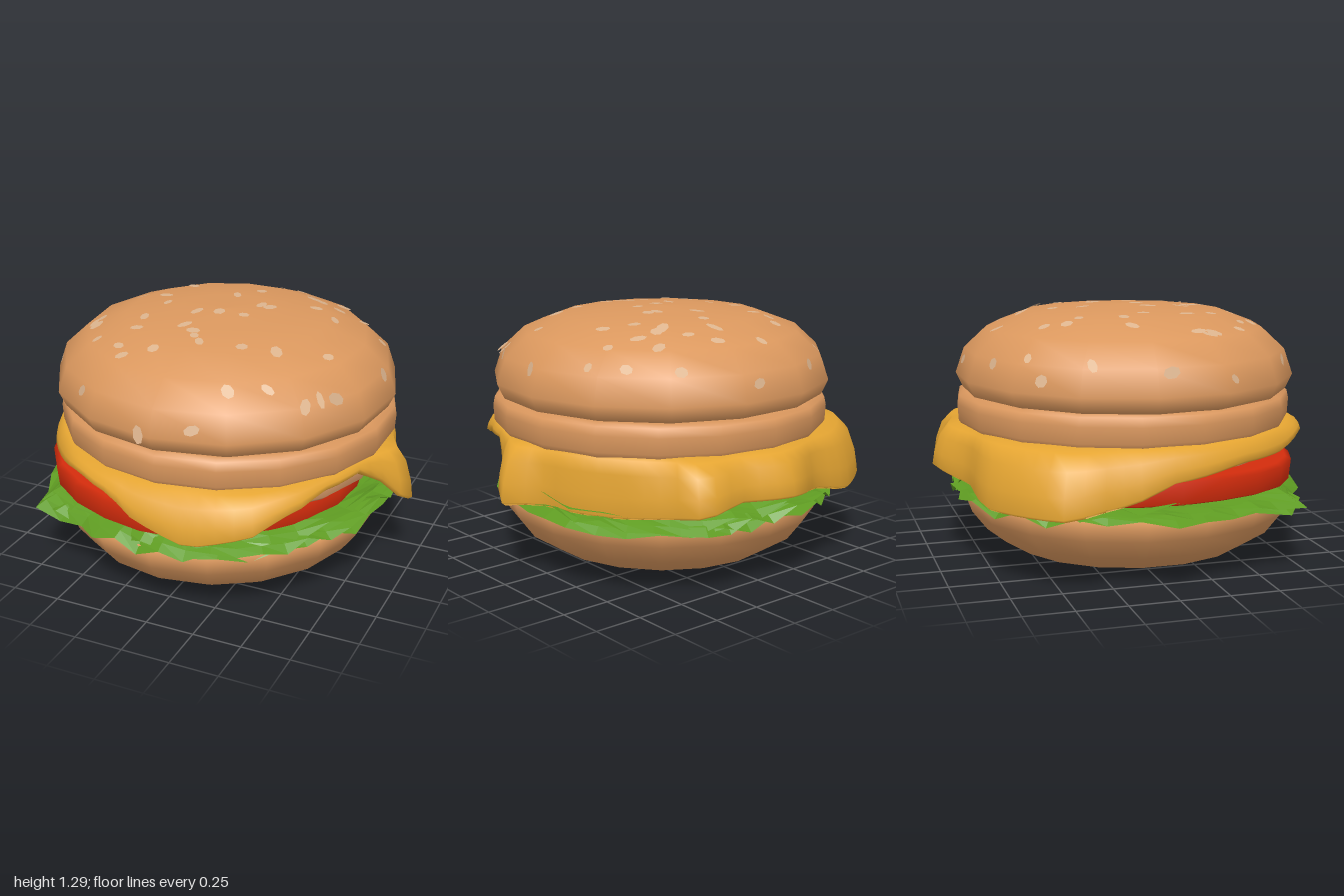
import * as THREE from 'three';

const material = (name, color, side = THREE.FrontSide, flatShading = false) => {
  const m = new THREE.MeshStandardMaterial({ color, side, flatShading });
  m.name = name;
  return m;
};

// Small seeded random generator
function seeded(seed) {
  return () => {
    seed = (seed * 16807) % 2147483647;
    return seed / 2147483647;
  };
}

// Closed interpolation through [angle in degrees, radius, height] keys
function around(keys, deg) {
  const a = ((deg % 360) + 360) % 360;
  const n = keys.length;
  let i = n - 1;
  while (i > 0 && keys[i][0] > a) i--;
  const p = keys[i], q = keys[(i + 1) % n];
  const span = q[0] - p[0] + (i === n - 1 ? 360 : 0);
  const t = (a - p[0]) / span;
  const s = (t + t * t * (3 - 2 * t)) / 2;
  return [p[1] + (q[1] - p[1]) * s, p[2] + (q[2] - p[2]) * s];
}

// Surface lofted through rings; each ring maps an angle to [radius, height].
// Angles run from +x towards +z.
function loft(rings, n) {
  const pos = [], index = [];
  rings.forEach((ring) => {
    for (let j = 0; j < n; j++) {
      const deg = (j * 360) / n, a = (deg * Math.PI) / 180;
      const [r, y] = ring(deg, j);
      pos.push(r * Math.cos(a), y, r * Math.sin(a));
    }
  });
  for (let i = 0; i < rings.length - 1; i++) {
    for (let j = 0; j < n; j++) {
      const k = (j + 1) % n;
      const a = i * n + j, b = i * n + k, c = a + n, d = b + n;
      index.push(a, b, c, b, d, c);
    }
  }
  const g = new THREE.BufferGeometry();
  g.setAttribute('position', new THREE.Float32BufferAttribute(pos, 3));
  g.setIndex(index);
  g.computeVertexNormals();
  return g;
}

export function createModel() {
  const model = new THREE.Group();
  model.name = 'burger';
  const bun = material('bun', 0xdb985e);
  const patty = material('patty', 0xdb9c6a);
  const seed = material('sesame', 0xdcb48e, THREE.DoubleSide);
  const cheese = material('cheese', 0xe5a532, THREE.DoubleSide);
  const tomato = material('tomato', 0xd42c0c, THREE.DoubleSide);
  const lettuce = material('lettuce', 0x5f9c22, THREE.DoubleSide, true);

  const add = (name, geometry, mat) => {
    const mesh = new THREE.Mesh(geometry, mat);
    mesh.name = name;
    model.add(mesh);
    return mesh;
  };
  const turned = (name, profile, mat, x, z, sx = 1, sz = 1, sides = 18) => {
    const g = new THREE.LatheGeometry(profile.map((p) => new THREE.Vector2(...p)), sides);
    g.scale(sx, 1, sz);
    g.translate(x, 0, z);
    return add(name, g, mat);
  };

  // Buns and patty, bottom to top
  turned('bottomBun', [[0, 0.02], [0.2, 0.008], [0.43, 0.005], [0.61, 0.05], [0.75, 0.14],
    [0.825, 0.24], [0.85, 0.31], [0.83, 0.35], [0.7, 0.37], [0, 0.37]], bun, -0.025, 0.045, 0.98, 1.02);
  turned('patty', [[0, 0.525], [0.76, 0.525], [0.79, 0.55], [0.79, 0.63], [0.74, 0.69], [0, 0.69]],
    patty, 0, 0.01);
  turned('middleBun', [[0, 0.68], [0.84, 0.68], [0.865, 0.72], [0.87, 0.8], [0.86, 0.845], [0.82, 0.858], [0, 0.858]],
    bun, 0, 0.015);
  const topBun = turned('topBun', [[0, 0.85], [0.8, 0.85], [0.85, 0.865], [0.885, 0.94], [0.84, 1.07],
    [0.72, 1.18], [0.52, 1.255], [0.26, 1.28], [0, 1.292]], bun, -0.015, 0.02, 1, 0.985, 15);

  // Tomato slab, curling up towards -x
  const tomatoRing = (r, y) => (deg) => {
    const c = Math.cos((deg * Math.PI) / 180);
    const ripple = 0.008 * Math.sin((deg * Math.PI) / 30);
    return [r + ripple, y + r * (0.022 * c * c - 0.012 * c) * (c < 0 ? 1 : 0.4)];
  };
  const slab = add('tomato', loft([tomatoRing(0, 0.405), tomatoRing(0.8, 0.405), tomatoRing(0.82, 0.415),
    tomatoRing(0.83, 0.515), tomatoRing(0.8, 0.53), tomatoRing(0, 0.53)], 24), tomato);
  slab.position.set(-0.1, 0, 0.04);

  // Cheese slice: flat on top, draping by angle
  const drape = [[2, 1.0, 0.43], [12, 0.89, 0.6], [20, 0.87, 0.665], [35, 0.89, 0.655], [50, 0.96, 0.6],
    [62, 1.01, 0.52], [78, 0.99, 0.46], [92, 0.98, 0.53], [104, 0.96, 0.63], [118, 0.94, 0.65],
    [135, 0.92, 0.61], [155, 0.92, 0.61], [178, 0.93, 0.56], [195, 0.96, 0.46], [210, 1.07, 0.41],
    [234, 1.0, 0.4], [252, 0.9, 0.46], [270, 0.99, 0.5], [285, 0.93, 0.5], [299, 1.04, 0.47],
    [307, 0.92, 0.44], [325, 0.87, 0.42], [350, 0.88, 0.43]];
  const cheeseRing = (out, down, thick) => (deg) => {
    const [r, y] = around(drape, deg);
    return [0.83 + (r - 0.83) * out - thick, 0.708 + (y - 0.708) * down - thick];
  };
  const flat = (r, y) => () => [r, y];
  add('cheese', loft([flat(0, 0.708), flat(0.8, 0.708), cheeseRing(0.45, 0.06, 0), cheeseRing(0.75, 0.3, 0),
    cheeseRing(0.93, 0.68, 0), cheeseRing(1, 1, 0), cheeseRing(0.98, 1, 0.015), cheeseRing(0.75, 0.35, 0.02),
    cheeseRing(0.4, 0.1, 0.02), flat(0.76, 0.685)], 72), cheese);

  // Lettuce: ruffled leaves with jagged, drooping edges
  const leafEdge = [[0, 0.88, 0.43], [12, 0.88, 0.43], [25, 0.87, 0.39], [45, 0.87, 0.375], [70, 0.92, 0.36],
    [95, 0.92, 0.345], [120, 0.94, 0.335], [137, 1.06, 0.33], [148, 0.95, 0.37], [165, 0.94, 0.37],
    [183, 1.0, 0.41], [198, 0.92, 0.39], [225, 0.89, 0.38], [253, 0.94, 0.4], [275, 0.88, 0.37],
    [300, 0.92, 0.34], [322, 0.93, 0.4], [342, 0.94, 0.42]];
  const leaf = (name, rnd, lift, size, droop, n) => {
    const jag = Array.from({ length: n }, () => [rnd() - 0.5, rnd() - 0.5]);
    const ring = (k, rough) => (deg, j) => {
      const [r, y] = around(leafEdge, deg);
      const wave = (j % 2 ? 1 : -1) * 0.012 + jag[j][1] * 0.045;
      const edge = y + (0.325 - y) * droop;
      return [r * size * k + jag[j][0] * 0.035 * rough, 0.415 + lift + (edge - 0.415 - lift + wave) * rough];
    };
    add(name, loft([ring(0.6, 0), ring(0.88, 0.12), ring(0.95, 0.55), ring(1, 1)], n), lettuce);
  };
  const rnd = seeded(41);
  leaf('lettuceTop', rnd, 0.025, 0.96, -0.5, 34);
  leaf('lettuceMiddle', rnd, 0, 1, 0, 45);
  leaf('lettuceBottom', rnd, -0.015, 0.97, 0.85, 36);

  // Sesame seeds laid on the top bun
  const seeds = new THREE.Group();
  seeds.name = 'sesameSeeds';
  model.add(seeds);
  topBun.updateMatrixWorld();
  const ray = new THREE.Raycaster();
  const disc = new THREE.CircleGeometry(1, 7);
  const placeSeed = (from, direction) => {
    ray.set(from, direction);
    const hit = ray.intersectObject(topBun)[0];
    const s = new THREE.Mesh(disc, seed);
    s.name = 'sesameSeed';
    s.position.copy(hit.point).addScaledVector(hit.face.normal, 0.003);
    s.quaternion.setFromUnitVectors(new THREE.Vector3(0, 0, 1), hit.face.normal);
    s.rotateZ(rnd() * Math.PI);
    s.scale.set(0.028 + rnd() * 0.02, 0.019 + rnd() * 0.013, 1);
    seeds.add(s);
  };

  // Seeds on the crown, as [x, z]
  const crown = [[-0.08, -0.66], [0.15, -0.6], [0.42, -0.65], [-0.52, -0.6], [-0.35, -0.48], [0.08, -0.5],
    [0.24, -0.49], [0.43, -0.5], [-0.4, -0.38], [-0.36, -0.31], [0.31, -0.38], [0.35, -0.385], [0.45, -0.37],
    [0.02, -0.35], [0.6, -0.33], [-0.06, -0.21], [0.17, -0.1], [0.12, -0.11], [-0.42, -0.1], [-0.56, -0.1],
    [0.37, -0.24], [0.5, -0.16], [0.1, 0.07], [-0.03, 0.08], [-0.14, 0.11], [-0.35, 0.02], [-0.63, 0.21],
    [-0.65, 0.26], [-0.62, 0.29], [-0.37, 0.24], [-0.12, 0.29], [-0.05, 0.34], [-0.02, 0.39], [0.03, 0.44],
    [-0.34, 0.38], [-0.36, 0.53], [-0.3, 0.61], [-0.16, 0.55], [0.4, 0.37], [0.24, 0.41], [0.61, 0.23],
    [0.45, 0.59], [-0.52, 0.46], [0.62, 0.55]];
  crown.forEach(([x, z]) => placeSeed(new THREE.Vector3(x, 2, z), new THREE.Vector3(0, -1, 0)));

  // Seeds on the flanks, as [angle, height]
  const flanks = [[123, 1.03], [95, 0.94], [78, 0.99], [67, 1.15], [35, 1.08], [29, 1.07], [0, 1.06],
    [336, 1.1], [322, 1.1], [245, 1.05], [222, 1.0], [205, 1.08], [180, 1.05], [158, 1.0], [275, 1.02]];
  flanks.forEach(([deg, y]) => {
    const a = (deg * Math.PI) / 180;
    const out = new THREE.Vector3(Math.cos(a), 0, Math.sin(a));
    placeSeed(out.clone().multiplyScalar(2).setY(y), out.negate());
  });

  return model;
}
